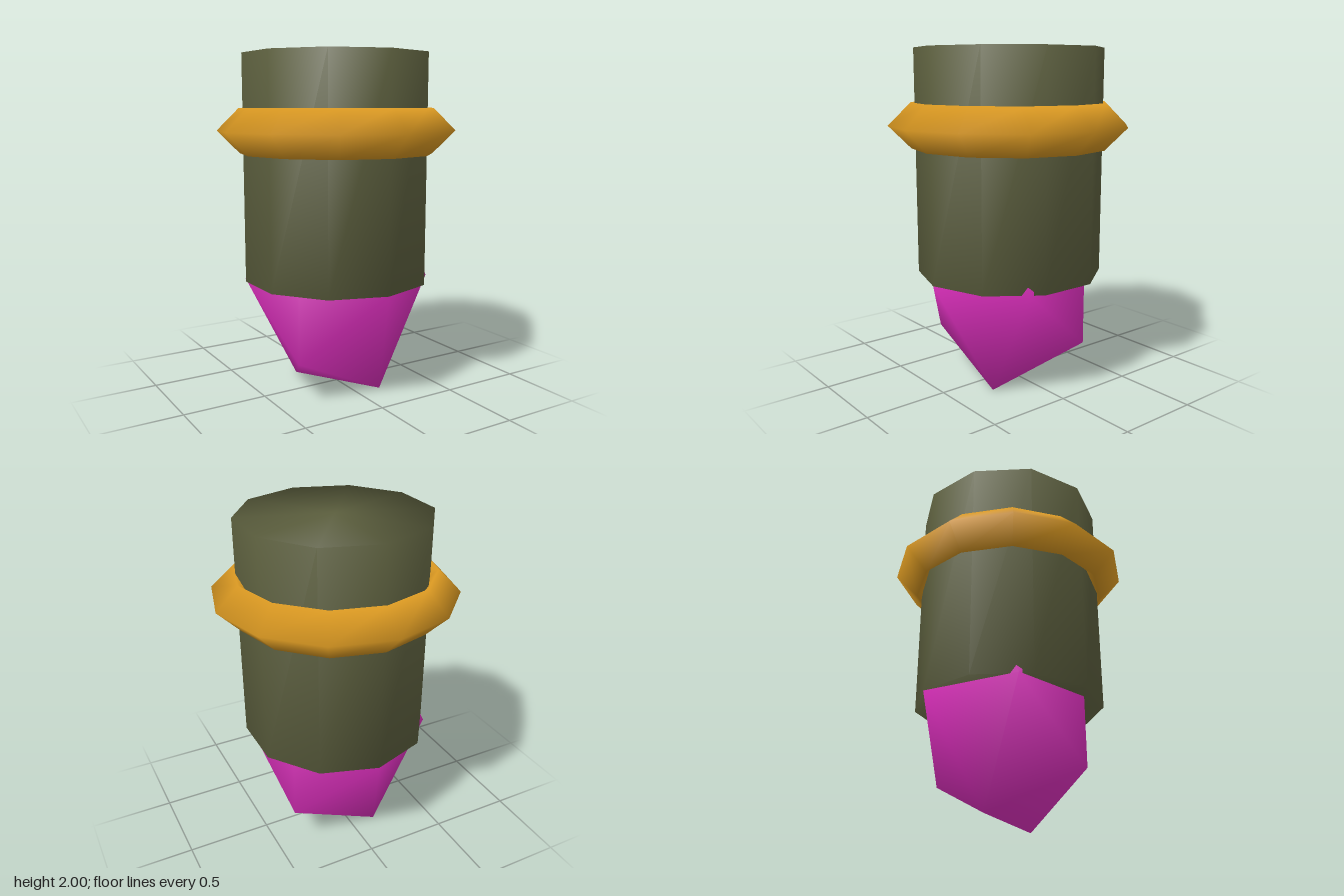
import * as THREE from 'three';
import { mergeVertices } from 'three/addons/utils/BufferGeometryUtils.js';

const paint = (name, color) => {
  const m = new THREE.MeshStandardMaterial({ color });
  m.name = name;
  return m;
};

// Weld all corners so the shading runs smoothly over every edge
function weld(geometry) {
  geometry.deleteAttribute('uv');
  geometry.deleteAttribute('normal');
  const g = mergeVertices(geometry, 1e-4);
  g.computeVertexNormals();
  return g;
}

export function createModel() {
  const group = new THREE.Group();
  const add = (name, geometry, material, y) => {
    const mesh = new THREE.Mesh(weld(geometry), material);
    mesh.name = name;
    mesh.position.y = y;
    group.add(mesh);
    return mesh;
  };

  const R = 0.555, baseY = 0.667;

  // Ten-sided upright body
  add('body', new THREE.CylinderGeometry(R, R, 2 - baseY, 10), paint('olive', 0x5c5f3e), (2 + baseY) / 2);

  // Diamond-section ring around the upper body
  add('ring', new THREE.TorusGeometry(0.577, 0.133, 4, 12).rotateX(Math.PI / 2), paint('amber', 0xdc9a22), 1.557);

  // Faceted tip, stretched downwards, its upper half hidden in the body
  const tip = new THREE.IcosahedronGeometry(R, 0);
  tip.scale(1, 1.412, 1).rotateY(THREE.MathUtils.degToRad(-58.28));
  add('tip', tip, paint('magenta', 0xe030c0), baseY);

  return group;
}
